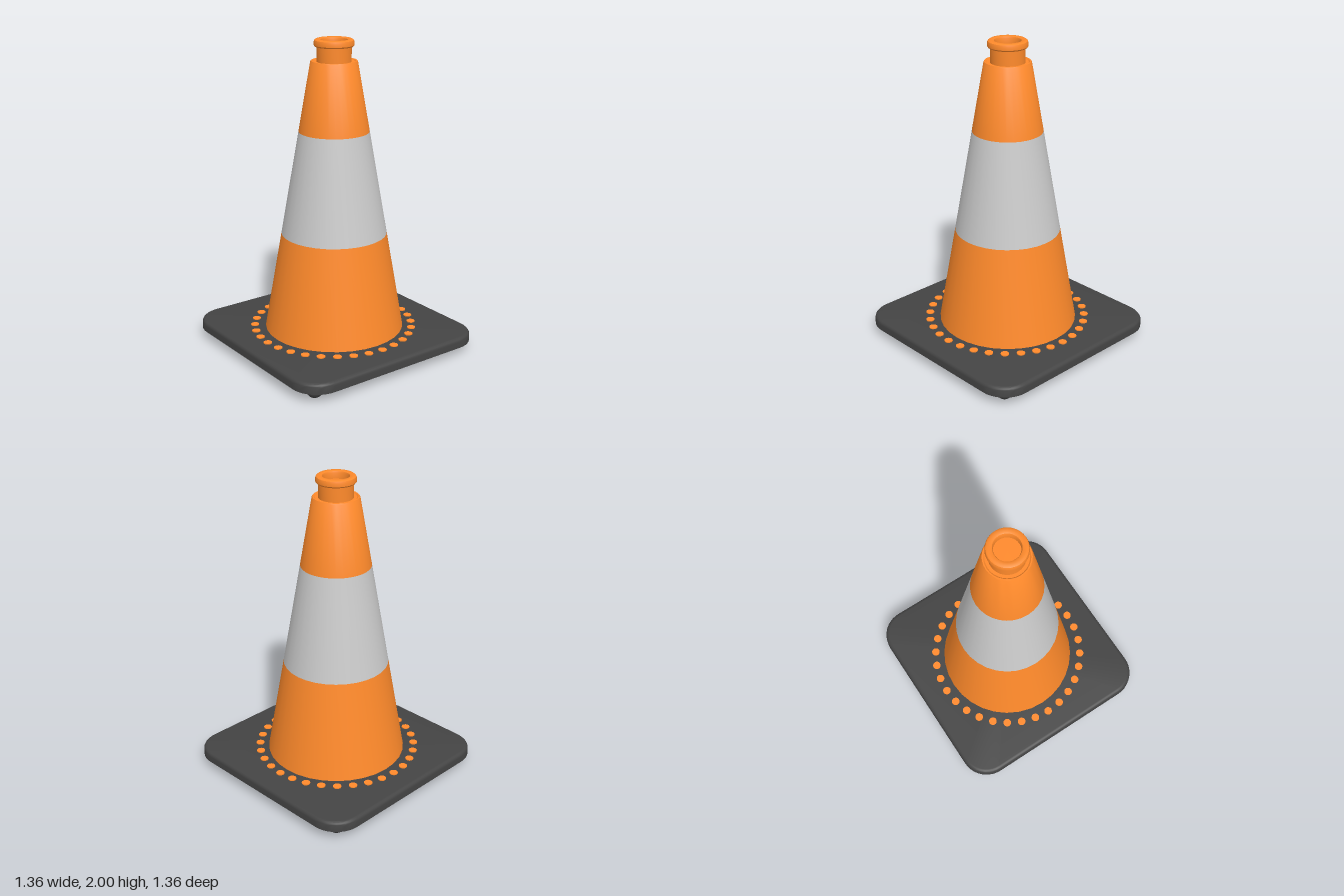
import * as THREE from 'three';
import { toCreasedNormals } from 'three/addons/utils/BufferGeometryUtils.js';

const orange = new THREE.MeshStandardMaterial({ color: 0xff8a2b });
const grey = new THREE.MeshStandardMaterial({ color: 0xcccccc });
const rubber = new THREE.MeshStandardMaterial({ color: 0x444444 });

function addMesh(parent, name, geometry, material) {
  const mesh = new THREE.Mesh(geometry, material);
  mesh.name = name;
  parent.add(mesh);
  return mesh;
}

// Surface of revolution with sharp edges kept
function lathe(profile, segments = 32) {
  const points = profile.map(([r, y]) => new THREE.Vector2(r, y));
  return toCreasedNormals(new THREE.LatheGeometry(points, segments), 0.6);
}

// Rounded square slab lofted through [inset, y] rings, capped at both ends
function roundedSlab(half, radius, rings, steps = 10) {
  const positions = [], index = [];
  const count = 4 * (steps + 1);
  for (const [inset, y] of rings) {
    for (let c = 0; c < 4; c++) {
      const mid = Math.PI / 4 + c * Math.PI / 2;
      const cx = Math.sign(Math.cos(mid)) * (half - radius);
      const cz = Math.sign(Math.sin(mid)) * (half - radius);
      for (let s = 0; s <= steps; s++) {
        const a = (c + s / steps) * Math.PI / 2;
        positions.push(cx + Math.cos(a) * (radius - inset), y, cz + Math.sin(a) * (radius - inset));
      }
    }
  }
  for (let r = 0; r < rings.length - 1; r++) {
    for (let i = 0; i < count; i++) {
      const j = (i + 1) % count;
      const a = r * count + i, b = r * count + j;
      index.push(a, a + count, b, b, a + count, b + count);
    }
  }
  const last = (rings.length - 1) * count;
  const bottom = positions.length / 3;
  positions.push(0, rings[0][1], 0, 0, rings[rings.length - 1][1], 0);
  for (let i = 0; i < count; i++) {
    const j = (i + 1) % count;
    index.push(bottom, i, j, bottom + 1, last + j, last + i);
  }
  const geometry = new THREE.BufferGeometry();
  geometry.setAttribute('position', new THREE.Float32BufferAttribute(positions, 3));
  geometry.setIndex(index);
  return toCreasedNormals(geometry, 0.6);
}

export function createModel() {
  const model = new THREE.Group();
  model.name = 'trafficCone';

  // Base plate: square lower edge, rounded upper edge
  const rings = [[0, 0.06]];
  for (let i = 0; i <= 5; i++) {
    const a = i / 5 * Math.PI / 2;
    rings.push([0.025 * (1 - Math.cos(a)), 0.1 + 0.025 * Math.sin(a)]);
  }
  addMesh(model, 'basePlate', roundedSlab(0.68, 0.18, rings), rubber);

  // Half-round feet at the corners and edge middles
  const feet = new THREE.Group();
  feet.name = 'feet';
  model.add(feet);
  const footGeometry = new THREE.SphereGeometry(0.053, 20, 8, 0, Math.PI * 2, Math.PI / 2, Math.PI / 2);
  footGeometry.translate(0, 0.053, 0);
  const collarGeometry = new THREE.CylinderGeometry(0.053, 0.053, 0.012, 20, 1, true);
  collarGeometry.translate(0, 0.059, 0);
  for (const x of [-0.565, 0, 0.565]) {
    for (const z of [-0.565, 0, 0.565]) {
      if (x === 0 && z === 0) continue;
      addMesh(feet, 'foot', footGeometry, rubber).position.set(x, 0, z);
      addMesh(feet, 'footCollar', collarGeometry, rubber).position.set(x, 0, z);
    }
  }

  // Ring of small studs on the base
  const studs = new THREE.Group();
  studs.name = 'studRing';
  studs.position.set(0, 0.125, 0.008);
  model.add(studs);
  const studGeometry = new THREE.CylinderGeometry(0.027, 0.027, 0.012, 16);
  for (let i = 0; i < 32; i++) {
    const a = i / 32 * Math.PI * 2;
    addMesh(studs, 'stud', studGeometry, orange).position.set(Math.sin(a) * 0.514, 0, Math.cos(a) * 0.514);
  }

  // Tapered body in three bands
  addMesh(model, 'lowerBody', lathe([[0.45, 0.122], [0.338, 0.762]]), orange);
  addMesh(model, 'reflectiveBand', lathe([[0.338, 0.762], [0.223, 1.425]]), grey);
  addMesh(model, 'upperBody', lathe([
    [0.223, 1.425], [0.147, 1.862], [0.143, 1.868], [0.135, 1.868], [0.128, 1.862], [0.108, 1.862],
  ]), orange);

  // Neck with a rolled lip and a shallow recess
  addMesh(model, 'neckAndLip', lathe([
    [0.108, 1.86], [0.108, 1.955], [0.119, 1.955], [0.125, 1.963], [0.125, 1.982], [0.121, 1.994],
    [0.112, 2], [0.092, 2], [0.084, 1.996], [0.08, 1.986], [0.08, 1.95], [0, 1.95],
  ]), orange);

  return model;
}
